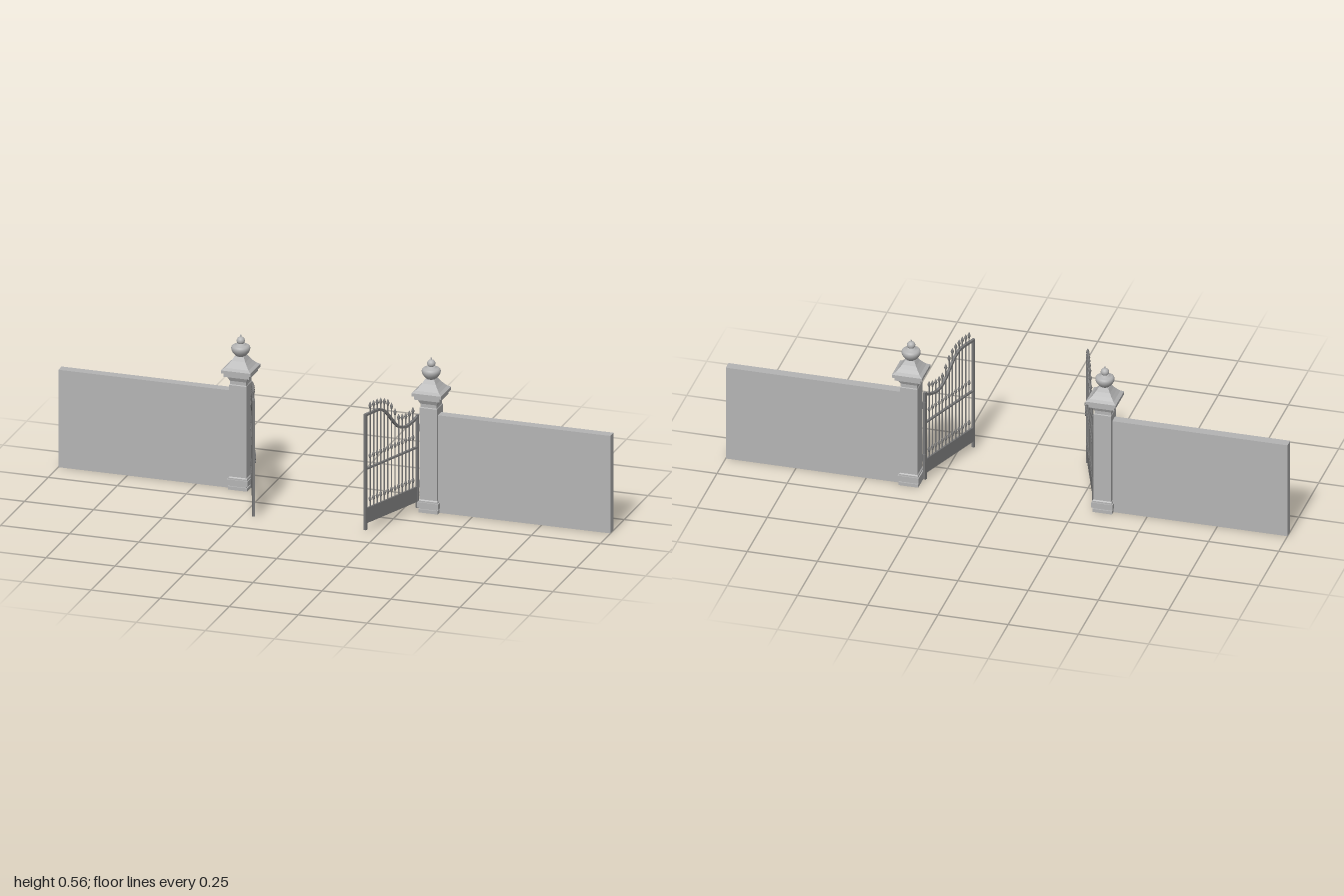
import * as THREE from 'three';

const stone = new THREE.MeshStandardMaterial({ color: 0xb4b4b4 });
stone.name = 'light grey stone';
const iron = new THREE.MeshStandardMaterial({ color: 0x7a7a7a });
iron.name = 'dark grey iron';

const pts = (list) => list.map(([r, y]) => new THREE.Vector2(r, y));

function add(parent, name, geometry, material, x = 0, y = 0, z = 0) {
  const mesh = new THREE.Mesh(geometry, material);
  mesh.name = name;
  mesh.position.set(x, y, z);
  parent.add(mesh);
  return mesh;
}

const box = (parent, name, material, w, h, d, x, y, z = 0) =>
  add(parent, name, new THREE.BoxGeometry(w, h, d), material, x, y, z);

// Square-section turned body: pairs of half width and height
function squareLathe(list) {
  const points = list.map(([r, y]) => new THREE.Vector2(r * Math.SQRT2, y));
  const g = new THREE.LatheGeometry(points, 4, Math.PI / 4).toNonIndexed();
  g.computeVertexNormals();
  return g;
}

function makePillar() {
  const pillar = new THREE.Group();
  pillar.name = 'pillar';
  // Stepped plinth
  add(pillar, 'plinth', squareLathe([
    [0, 0], [0.035, 0], [0.035, 0.012], [0.03, 0.012], [0.03, 0.018], [0.038, 0.018],
    [0.038, 0.038], [0.034, 0.038], [0.034, 0.043], [0.031, 0.047], [0, 0.047],
  ]), stone);
  // Shaft with flared neck
  add(pillar, 'shaft', squareLathe([
    [0.031, 0.046], [0.031, 0.381], [0.0295, 0.384], [0.0295, 0.396], [0.038, 0.414], [0, 0.414],
  ]), stone);
  // Overhanging cap with a concave roof
  add(pillar, 'cap', squareLathe([
    [0, 0.414], [0.046, 0.414], [0.046, 0.428], [0.0535, 0.428], [0.0535, 0.439],
    [0.043, 0.446], [0.034, 0.456], [0.025, 0.468], [0.017, 0.482], [0, 0.482],
  ]), stone);
  // Round urn, ball and tip
  add(pillar, 'urn', new THREE.LatheGeometry(pts([
    [0.014, 0.48], [0.02, 0.485], [0.027, 0.493], [0.032, 0.502], [0.033, 0.51],
    [0.031, 0.516], [0.026, 0.52], [0.014, 0.521], [0.014, 0.527], [0, 0.527],
  ]), 28), stone);
  const ball = add(pillar, 'finialBall', new THREE.SphereGeometry(0.0145, 20, 14), stone, 0, 0.536);
  ball.scale.y = 0.97;
  add(pillar, 'finialTip', new THREE.CylinderGeometry(0.0018, 0.003, 0.008, 10), stone, 0, 0.553);
  return pillar;
}

// Gate in its own plane: x runs from the hinge to the free edge
const LENGTH = 0.281;
const BAR_TIPS = [0.471, 0.471, 0.471, 0.468, 0.462, 0.452, 0.434, 0.407, 0.382, 0.377, 0.375, 0.377, 0.384];

// Swept top rail as a band of constant thickness along an S curve
function topRail() {
  const curve = new THREE.SplineCurve(pts([
    [0, 0.343], [0.018, 0.334], [0.043, 0.326], [0.062, 0.323], [0.081, 0.326], [0.101, 0.334], [0.12, 0.35],
    [0.14, 0.373], [0.159, 0.395], [0.178, 0.413], [0.199, 0.425], [0.218, 0.428], [LENGTH, 0.428],
  ]));
  const upper = [];
  const lower = [];
  for (let i = 0; i <= 60; i++) {
    const p = curve.getPoint(i / 60);
    const t = curve.getTangent(i / 60);
    const n = new THREE.Vector2(-t.y, t.x).multiplyScalar(0.0042);
    upper.push(p.clone().add(n));
    lower.push(p.clone().sub(n));
  }
  const shape = new THREE.Shape(lower.concat(upper.reverse()));
  const g = new THREE.ExtrudeGeometry(shape, { depth: 0.009, bevelEnabled: false });
  return g.translate(0, 0, -0.0045);
}

function makeGate() {
  const gate = new THREE.Group();
  gate.name = 'gate';
  // Frame
  box(gate, 'freePost', iron, 0.009, 0.423, 0.009, LENGTH, 0.2205);
  box(gate, 'hingePost', iron, 0.009, 0.34, 0.009, 0, 0.179);
  box(gate, 'kickPlate', iron, LENGTH, 0.055, 0.006, LENGTH / 2, 0.0595);
  box(gate, 'middleRail', iron, LENGTH, 0.006, 0.008, LENGTH / 2, 0.23);
  add(gate, 'topRail', topRail(), iron);
  // Spear bars with two rows of collars
  const head = new THREE.LatheGeometry(pts([
    [0.0023, 0], [0.003, 0.003], [0.0058, 0.01], [0.0035, 0.018], [0, 0.026],
  ]), 10);
  const collar = new THREE.LatheGeometry(pts([
    [0.0023, -0.01], [0.0035, -0.007], [0.0055, 0], [0.0035, 0.007], [0.0023, 0.01],
  ]), 10);
  BAR_TIPS.forEach((tip, i) => {
    const x = 0.256 - i * 0.0193;
    const h = tip - 0.025 - 0.085;
    add(gate, 'bar', new THREE.CylinderGeometry(0.0024, 0.0024, h, 8), iron, x, 0.085 + h / 2);
    add(gate, 'spearHead', head, iron, x, tip - 0.026);
    for (const y of [0.115, 0.272]) add(gate, 'collar', collar, iron, x, y);
  });
  // Hinges
  for (const y of [0.095, 0.3]) {
    add(gate, 'hingeBarrel', new THREE.CylinderGeometry(0.006, 0.006, 0.026, 12), iron, -0.004, y);
  }
  return gate;
}

// Sliding bolt with a hanging ring handle
function makeLatch() {
  const latch = new THREE.Group();
  latch.name = 'latch';
  const bolt = add(latch, 'bolt', new THREE.CylinderGeometry(0.0018, 0.0018, 0.074, 8), iron, 0.267, 0.23, -0.006);
  bolt.rotation.z = Math.PI / 2;
  box(latch, 'boltPlate', iron, 0.012, 0.01, 0.006, 0.27, 0.23, -0.005);
  add(latch, 'handleRing', new THREE.TorusGeometry(0.0055, 0.0015, 8, 16), iron, 0.27, 0.218, -0.007);
  const drop = add(latch, 'handleDrop', new THREE.TorusGeometry(0.006, 0.0015, 8, 16), iron, 0.27, 0.206, -0.007);
  drop.scale.x = 0.7;
  return latch;
}

export function createModel() {
  const model = new THREE.Group();
  model.name = 'gateway';
  for (const s of [-1, 1]) {
    const side = s > 0 ? 'left' : 'right';
    // Boundary wall
    box(model, side + 'Wall', stone, 0.632, 0.356, 0.034, s * 0.684, 0.178, -0.123);
    const pillar = makePillar();
    pillar.name = side + 'Pillar';
    pillar.position.set(s * 0.345, 0, -0.123);
    model.add(pillar);
    // Gate leaf standing open
    const gate = makeGate();
    gate.name = side + 'Gate';
    gate.position.set(s * 0.3, 0, -0.108);
    gate.rotation.y = -Math.PI / 2 - s * 0.354;
    if (s < 0) gate.add(makeLatch());
    model.add(gate);
  }
  return model;
}
